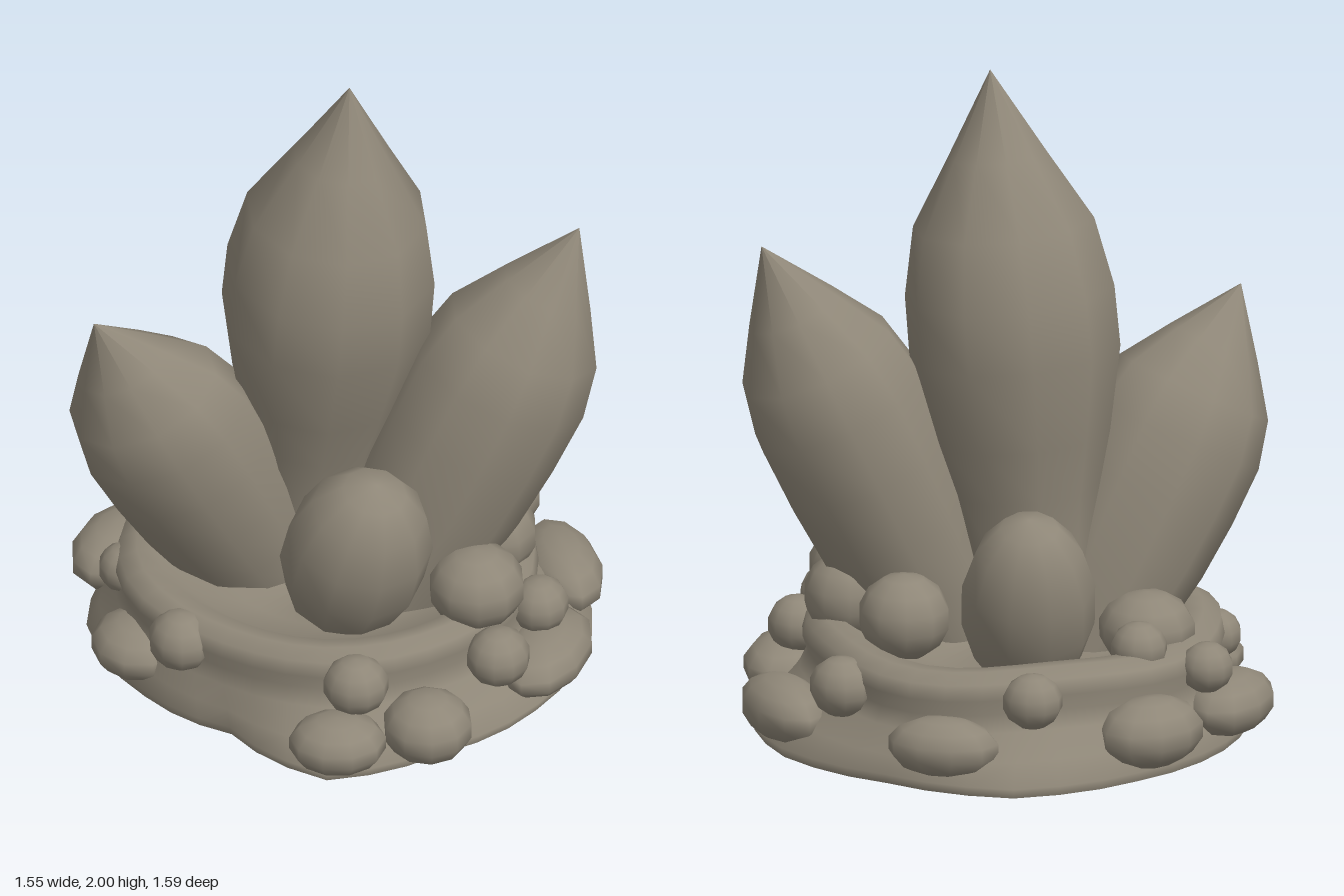
import * as THREE from 'three';

const stone = new THREE.MeshStandardMaterial({ color: 0x8f8778 });
stone.name = 'warm grey stone';

// Radius of the foot every 30 degrees, starting at the front and turning to +x
const FOOT = [0.74, 0.68, 0.71, 0.76, 0.78, 0.75, 0.81, 0.76, 0.75, 0.74, 0.65, 0.59];
const STEPS = 36;

function footPoint(a) {
  const t = ((a / (Math.PI * 2)) * 12) % 12;
  const i = Math.floor(t);
  const r = THREE.MathUtils.lerp(FOOT[i], FOOT[(i + 1) % 12], t - i);
  return [Math.sin(a) * r, Math.cos(a) * r];
}

function rimPoint(a) {
  const r = 0.6 + 0.012 * Math.sin(3 * a) + 0.01 * Math.sin(5 * a + 1);
  return [-0.02 + Math.sin(a) * r, -0.05 + Math.cos(a) * r];
}

// Each level is [y, blend from foot to rim, scale]
function loft(levels) {
  const pos = [], idx = [];
  levels.forEach(([y, blend, scale], k) => {
    for (let i = 0; i < STEPS; i++) {
      const a = (i / STEPS) * Math.PI * 2;
      const f = footPoint(a), r = rimPoint(a);
      const wave = y > 0.1 ? 0.008 * Math.sin(4 * a + 0.5) : 0;
      pos.push(
        THREE.MathUtils.lerp(f[0], r[0], blend) * scale,
        y + wave,
        THREE.MathUtils.lerp(f[1], r[1], blend) * scale
      );
      if (k < levels.length - 1) {
        const p = k * STEPS + i, q = k * STEPS + ((i + 1) % STEPS);
        idx.push(p, q, q + STEPS, p, q + STEPS, p + STEPS);
      }
    }
  });
  const g = new THREE.BufferGeometry();
  g.setAttribute('position', new THREE.Float32BufferAttribute(pos, 3));
  g.setIndex(idx);
  g.computeVertexNormals();
  return g;
}

export function createModel() {
  const model = new THREE.Group();
  model.name = 'crystalCluster';

  const add = (name, geometry) => {
    const mesh = new THREE.Mesh(geometry, stone);
    mesh.name = name;
    model.add(mesh);
    return mesh;
  };

  // Rocky base with a rolled rim and a sunken top
  add('base', loft([
    [0.02, 0, 0.97], [0.05, 0, 0.985], [0.11, 0.4, 1], [0.18, 0.9, 1.01],
    [0.23, 1, 1], [0.28, 1, 1.03], [0.325, 1, 1.01], [0.35, 1, 0.93],
    [0.345, 1, 0.84], [0.3, 1, 0.74], [0.28, 1, 0.55], [0.28, 1, 0]
  ]));
  add('underside', loft([[0, 0, 0], [0, 0, 0.88], [0.02, 0, 0.97]]));

  // Pointed crystals: profile of [fraction of length, radius], leaned from foot to tip
  const tall = [[0, 0.15], [0.16, 0.17], [0.3, 0.215], [0.39, 0.26], [0.53, 0.312],
    [0.63, 0.31], [0.745, 0.268], [0.86, 0.145], [1, 0]];
  const side = [[0, 0.18], [0.15, 0.22], [0.3, 0.252], [0.45, 0.268], [0.6, 0.272],
    [0.72, 0.238], [0.84, 0.14], [1, 0]];
  const crystal = (name, foot, tip, profile, turn, depth) => {
    const a = new THREE.Vector3(...foot), dir = new THREE.Vector3(...tip).sub(a);
    const len = dir.length();
    const pts = profile.map(([t, r]) => new THREE.Vector2(r, t * len));
    const g = new THREE.LatheGeometry(pts, 10);
    g.rotateY(turn);
    g.scale(1, 1, depth);
    const mesh = add(name, g);
    mesh.position.copy(a);
    mesh.quaternion.setFromUnitVectors(new THREE.Vector3(0, 1, 0), dir.normalize());
  };
  crystal('centralCrystal', [-0.11, 0.2, -0.11], [0.04, 2, 0.01], tall, 0.15, 0.98);
  crystal('leftCrystal', [0.14, 0.22, 0.06], [0.71, 1.48, -0.04], side, 0.1, 0.94);
  crystal('rightCrystal', [-0.2, 0.22, -0.06], [-0.7, 1.27, 0.2], side, 0.2, 0.84);

  // Rounded stones: position, radii, lean about x and z; they face outwards
  const blob = (name, [x, y, z], [w, h, d], leanX = 0, leanZ = 0, face = true) => {
    const mesh = add(name, new THREE.SphereGeometry(1, 10, 7));
    mesh.position.set(x, y, z);
    mesh.scale.set(w, h, d);
    mesh.rotation.set(leanX, face ? Math.atan2(x, z) : 0, leanZ, 'XZY');
  };
  blob('frontBud', [0.07, 0.53, 0.28], [0.22, 0.32, 0.205], 0.28, -0.2, false);
  blob('backBud', [-0.06, 0.46, -0.315], [0.2, 0.315, 0.19], -0.35, 0, false);

  // Stones lying inside the rim
  [
    [0.42, 0.4, 0.25, 0.145, 0.125], [0.46, 0.4, -0.02, 0.13, 0.13],
    [0.3, 0.4, -0.23, 0.138, 0.13], [-0.41, 0.35, -0.22, 0.145, 0.115],
    [-0.38, 0.35, -0.4, 0.085, 0.08]
  ].forEach(([x, y, z, r, h]) => blob('innerStone', [x, y, z], [r, h, r]));

  // Large flat stones around the foot
  [
    [0.03, 0.13, 0.68, 0.145, 0.088, 0.12], [0.29, 0.14, 0.6, 0.135, 0.105, 0.135],
    [0.62, 0.13, 0.2, 0.215, 0.085, 0.13], [0.65, 0.125, -0.24, 0.205, 0.095, 0.115],
    [0.2, 0.14, -0.66, 0.17, 0.09, 0.11], [-0.41, 0.15, -0.57, 0.17, 0.105, 0.13],
    [-0.65, 0.14, -0.27, 0.19, 0.092, 0.125], [-0.57, 0.13, 0.2, 0.15, 0.088, 0.14]
  ].forEach(([x, y, z, w, h, d]) => blob('footStone', [x, y, z], [w, h, d]));

  // Small pebbles around the rim
  [
    [0.08, 0.275, 0.59, 0.098], [0.49, 0.26, 0.41, 0.098], [0.6, 0.26, 0.14, 0.092],
    [0.49, 0.25, -0.42, 0.098], [-0.06, 0.28, -0.67, 0.09], [-0.58, 0.28, -0.37, 0.082],
    [-0.62, 0.26, 0, 0.08], [-0.44, 0.26, 0.36, 0.1]
  ].forEach(([x, y, z, r]) => blob('rimPebble', [x, y, z], [r, r * 0.92, r * 0.95]));

  return model;
}
